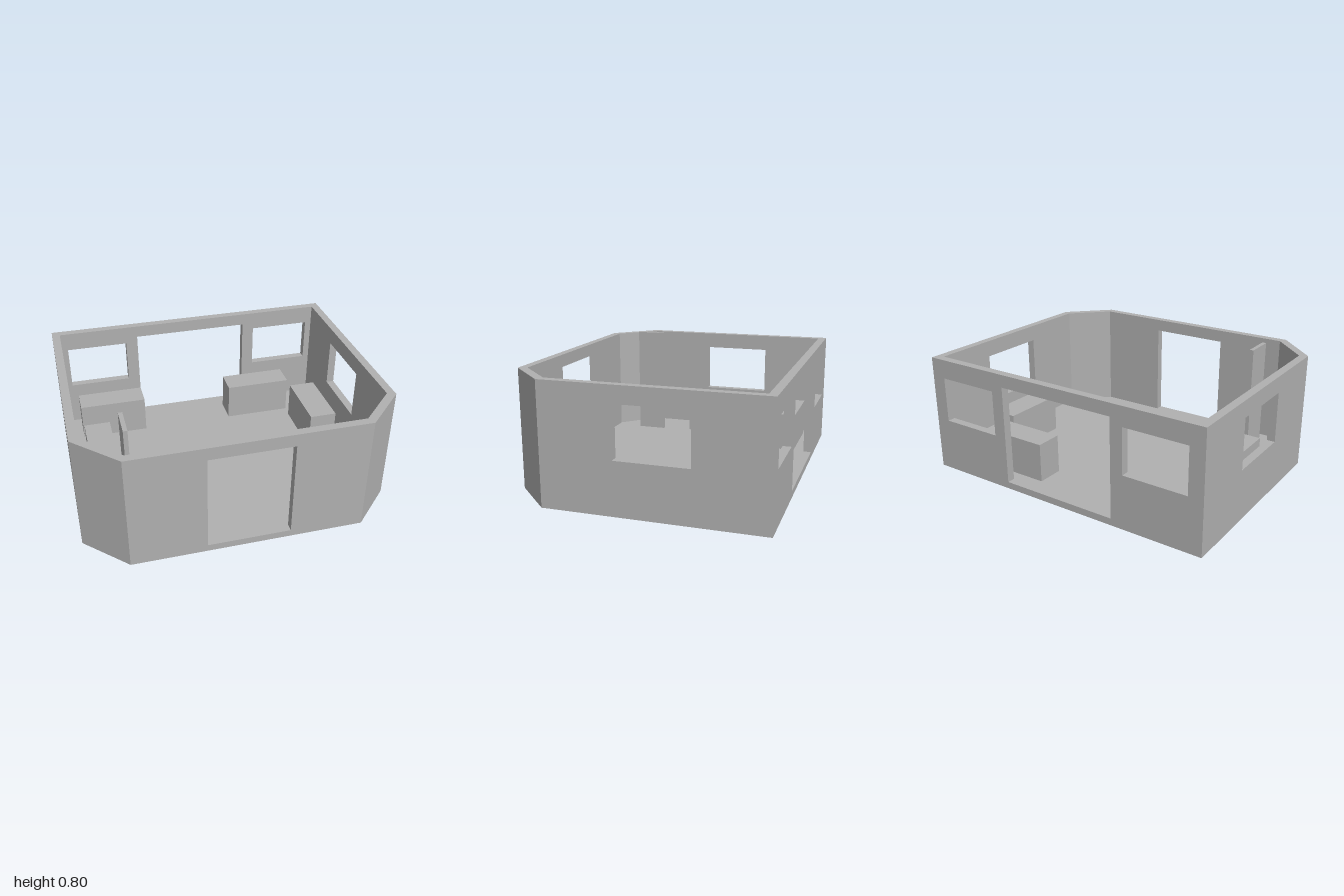
import * as THREE from 'three';

const HEIGHT = 0.77, FLOOR = 0.045, THICK = 0.053;

export function createModel() {
  const room = new THREE.Group();
  room.name = 'room';
  const grey = new THREE.MeshStandardMaterial({ color: 0xb0b0b0 });
  grey.name = 'plain grey';

  const add = (name, geometry) => {
    const mesh = new THREE.Mesh(geometry, grey);
    mesh.name = name;
    room.add(mesh);
    return mesh;
  };

  // Outer footprint, walked so that "along x up" points into the room.
  const corners = [
    [0.74, 0.815], [-0.74, 0.815], [-1, 0.555],
    [-1, -0.815], [1, -0.815], [1, 0.555],
  ].map(([x, z]) => new THREE.Vector3(x, 0, z));

  // Openings: [offset from the wall's middle, width, bottom, top]
  const sideWindow = [0, 0.46, 0.336, 0.662];
  const walls = [
    ['frontWall', [[0, 0.53, FLOOR, 0.688]]],
    ['frontRightCornerWall', []],
    ['rightWall', [sideWindow]],
    ['backWall', [[0, 0.8, FLOOR, 0.688], [-0.693, 0.42, 0.35, 0.645], [0.693, 0.42, 0.35, 0.645]]],
    ['leftWall', [sideWindow]],
    ['frontLeftCornerWall', []],
  ];

  const count = corners.length;
  const up = new THREE.Vector3(0, 1, 0);
  const along = corners.map((c, i) => corners[(i + 1) % count].clone().sub(c).normalize());
  // Mitre length at the start of each wall
  const mitre = along.map((u, i) => THICK * Math.tan(u.angleTo(along[(i + count - 1) % count]) / 2));
  const inner = [];

  // Mitred walls with cut-out openings
  walls.forEach(([name, openings], i) => {
    const start = corners[i], u = along[i];
    const length = start.distanceTo(corners[(i + 1) % count]);
    const inward = u.clone().cross(up);
    const shape = rectangle(new THREE.Shape(), 0, length, 0, HEIGHT);
    for (const [offset, width, bottom, top] of openings) {
      const middle = length / 2 + offset;
      shape.holes.push(rectangle(new THREE.Path(), middle - width / 2, middle + width / 2, bottom, top));
    }
    const geometry = new THREE.ExtrudeGeometry(shape, { depth: THICK, bevelEnabled: false });
    const p = geometry.attributes.position;
    for (let v = 0; v < p.count; v++) {
      if (p.getZ(v) < THICK / 2) continue;
      if (p.getX(v) < 1e-4) p.setX(v, mitre[i]);
      else if (p.getX(v) > length - 1e-4) p.setX(v, length - mitre[(i + 1) % count]);
    }
    geometry.applyMatrix4(new THREE.Matrix4().makeBasis(u, up, inward).setPosition(start));
    geometry.computeVertexNormals();
    add(name, geometry);
    inner.push(start.clone().addScaledVector(inward, THICK).addScaledVector(u, mitre[i]));
  });

  // Floor slab fitted between the walls
  const floorShape = new THREE.Shape(inner.map((c) => new THREE.Vector2(c.x, c.z)));
  const floor = new THREE.ExtrudeGeometry(floorShape, { depth: FLOOR, bevelEnabled: false });
  add('floor', floor.rotateX(Math.PI / 2).translate(0, FLOOR, 0));

  // Furniture: name, x range, z range, top
  const furniture = [
    ['backRightCabinet', -0.87, -0.41, -0.69, -0.515, 0.3],
    ['backLeftCabinet', 0.23, 0.69, -0.69, -0.515, 0.3],
    ['rightCabinet', -0.87, -0.695, -0.285, 0.175, 0.3],
    ['leftCabinet', 0.685, 0.87, -0.435, 0.01, 0.3],
    ['standingPanel', -0.695, -0.668, 0.38, 0.578, 0.8],
  ];
  for (const [name, x0, x1, z0, z1, top] of furniture) {
    add(name, new THREE.BoxGeometry(x1 - x0, top - FLOOR, z1 - z0))
      .position.set((x0 + x1) / 2, (top + FLOOR) / 2, (z0 + z1) / 2);
  }
  return room;
}

function rectangle(path, x0, x1, y0, y1) {
  path.moveTo(x0, y0);
  path.lineTo(x1, y0);
  path.lineTo(x1, y1);
  path.lineTo(x0, y1);
  path.closePath();
  return path;
}
